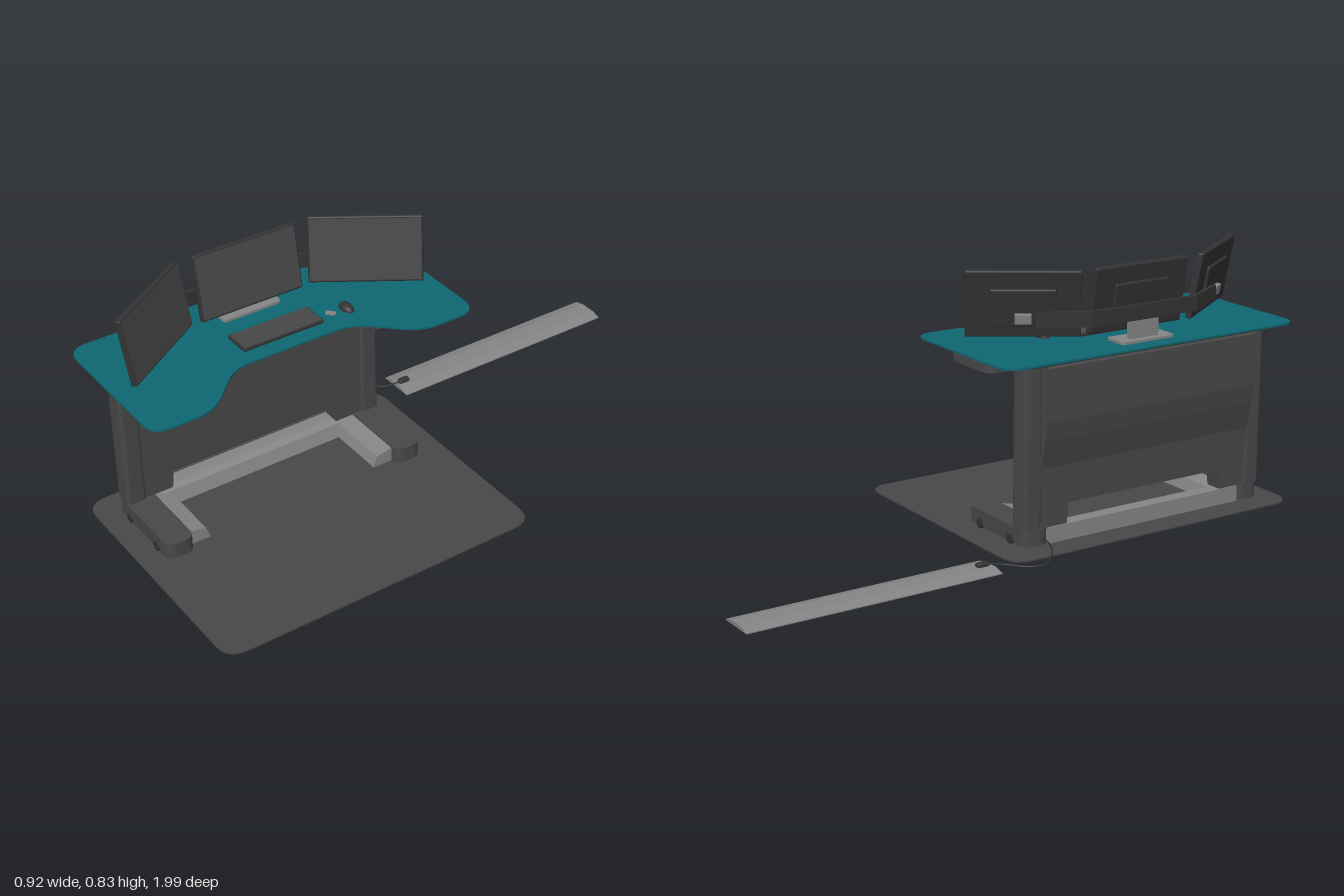
import * as THREE from 'three';
import { RoundedBoxGeometry } from 'three/addons/geometries/RoundedBoxGeometry.js';

const mat = (name, color) => Object.assign(new THREE.MeshStandardMaterial({ color }), { name });

// Closed shape whose corners are rounded with the given radius
function roundPoly(pts, r) {
  const v = pts.map(p => new THREE.Vector2(p[0], p[1]));
  const s = new THREE.Shape();
  v.forEach((p, i) => {
    const a = v[(i + v.length - 1) % v.length], b = v[(i + 1) % v.length];
    const toward = q => p.clone().add(q.clone().sub(p).setLength(Math.min(r, q.distanceTo(p) * 0.45)));
    const s0 = toward(a), s1 = toward(b);
    if (i) s.lineTo(s0.x, s0.y); else s.moveTo(s0.x, s0.y);
    s.quadraticCurveTo(p.x, p.y, s1.x, s1.y);
  });
  s.closePath();
  return s;
}

const extrude = (shape, depth) =>
  new THREE.ExtrudeGeometry(shape, { depth, bevelEnabled: false, curveSegments: 6 });

// Flat slab from an [x, z] outline
const slab = (pts, r, y0, y1) =>
  extrude(roundPoly(pts.map(([x, z]) => [x, -z]), r), y1 - y0).rotateX(-Math.PI / 2).translate(0, y0, 0);

// Prism along z from an [x, y] profile
const alongZ = (pts, z0, z1) =>
  extrude(new THREE.Shape(pts.map(p => new THREE.Vector2(...p))), z1 - z0).translate(0, 0, z0);

// Prism along x from a [z, y] profile
const alongX = (pts, x0, x1) => alongZ(pts.map(([z, y]) => [-z, y]), x0, x1).rotateY(Math.PI / 2);

const rect = (x0, x1, z0, z1) => [[x0, z0], [x1, z0], [x1, z1], [x0, z1]];
const box = (x0, x1, y0, y1, z0, z1) =>
  new THREE.BoxGeometry(x1 - x0, y1 - y0, z1 - z0).translate((x0 + x1) / 2, (y0 + y1) / 2, (z0 + z1) / 2);

export function createModel() {
  const teal = mat('teal top', 0x0e6772);
  const dark = mat('dark grey', 0x484848);
  const black = mat('charcoal', 0x333333);
  const grey = mat('light grey', 0x858585);
  const model = new THREE.Group();
  const add = (name, geometry, material, parent = model) => {
    const mesh = new THREE.Mesh(geometry, material);
    mesh.name = name;
    parent.add(mesh);
    return mesh;
  };

  // Floor mat
  add('floorMat', slab(rect(-0.4, 0.455, -0.1, 0.98), 0.07, 0, 0.004), dark);

  // Floor cable ramp with plug and loose cable
  add('cableRamp', alongZ([[-0.44, 0], [-0.315, 0], [-0.315, 0.003], [-0.35, 0.012],
    [-0.405, 0.012], [-0.44, 0.003]], -1, -0.17), grey);
  add('plug', new RoundedBoxGeometry(0.022, 0.016, 0.04, 2, 0.006).translate(-0.378, 0.016, -0.2), black);
  const cable = new THREE.CatmullRomCurve3([[-0.378, 0.014, -0.18], [-0.395, 0.008, -0.13], [-0.44, 0.007, -0.09],
    [-0.46, 0.008, -0.03], [-0.42, 0.018, 0.02], [-0.38, 0.025, 0.045], [-0.31, 0.032, 0.06]]
    .map(p => new THREE.Vector3(...p)));
  add('cable', new THREE.TubeGeometry(cable, 40, 0.0028, 6), black);

  // Desktop with a recess at the seated side
  const mid = 0.437;
  const half = [[-0.381, 0.553], [0.132, 0.553], [0.132, 0.355], [-0.018, 0.205]];
  const outline = [...half.map(([x, d]) => [x, mid + d]), ...half.slice().reverse().map(([x, d]) => [x, mid - d])];
  add('desktop', slab(outline, 0.062, 0.585, 0.591), teal);

  // Frame under the desktop
  const c = 0.448;
  const frameHalf = [[-0.346, 0.455], [0.086, 0.455], [0.086, 0.36], [-0.04, 0.23]];
  const frame = [...frameHalf.map(([x, d]) => [x, c + d]), ...frameHalf.slice().reverse().map(([x, d]) => [x, c - d])];
  add('underFrame', slab(frame, 0.02, 0.57, 0.585), black);

  // Drawer hung at one end
  add('drawer', slab(rect(-0.228, -0.01, -0.08, 0.16), 0.04, 0.54, 0.566), dark);
  add('drawerRail', box(-0.2, -0.04, 0.564, 0.586, -0.02, 0.13), black);

  // Back cover, thicker toward the top
  add('backCover', alongZ([[-0.258, 0.125], [-0.315, 0.125], [-0.32, 0.25], [-0.342, 0.34],
    [-0.351, 0.4], [-0.351, 0.565], [-0.345, 0.572], [-0.258, 0.572]], c - 0.4, c + 0.4), dark);

  // Columns, cover legs and feet, mirrored at both ends
  for (const s of [-1, 1]) {
    const z = d => c + s * d;
    const span = (a, b) => [Math.min(z(a), z(b)), Math.max(z(a), z(b))];
    add('column', slab(rect(-0.32, -0.25, ...span(0.395, 0.458)), 0.014, 0.06, 0.585), dark);
    add('coverLeg', alongX([[z(0.4), 0.06], [z(0.3), 0.06], [z(0.293), 0.126], [z(0.4), 0.126]], -0.316, -0.258), dark);
    add('foot', slab(rect(-0.322, -0.007, ...span(0.365, 0.458)), 0.035, 0.01, 0.062), dark);
    add('footInnerTrim', alongX([[z(0.37), 0.008], [z(0.297), 0.008], [z(0.31), 0.045], [z(0.37), 0.058]],
      -0.28, -0.04), grey);
    for (const x of [-0.245, -0.08])
      add('caster', new THREE.CylinderGeometry(0.016, 0.016, 0.03, 16).rotateX(Math.PI / 2)
        .translate(x, 0.02, z(0.447)), black);
  }

  // Beam joining the feet
  add('baseBeam', alongZ([[-0.32, 0.008], [-0.24, 0.008], [-0.255, 0.05], [-0.275, 0.06], [-0.32, 0.06]],
    c - 0.37, c + 0.37), grey);

  // Monitor stand: base, post and jointed bar
  const m = 0.442;
  add('standBase', slab(rect(-0.325, -0.24, m - 0.1, m + 0.1), 0.015, 0.591, 0.599), grey);
  add('standPost', box(-0.302, -0.281, 0.595, 0.665, m - 0.052, m + 0.052), grey);
  const bar = [[-0.215, -0.34], [-0.297, -0.195], [-0.3, 0], [-0.297, 0.195], [-0.215, 0.34]];
  for (let i = 0; i < 4; i++) {
    const [x0, z0] = bar[i], [x1, z1] = bar[i + 1];
    const piece = add('standBar', new THREE.BoxGeometry(0.014, 0.048, Math.hypot(x1 - x0, z1 - z0) + 0.008), black);
    piece.position.set((x0 + x1) / 2, 0.68, m + (z0 + z1) / 2);
    piece.rotation.y = Math.atan2(x1 - x0, z1 - z0);
  }

  // Three monitors leaning back and turned toward the seat
  for (const s of [-1, 0, 1]) {
    const monitor = new THREE.Group();
    monitor.name = 'monitor';
    add('monitorCase', new RoundedBoxGeometry(0.35, 0.212, 0.02, 2, 0.005), black, monitor);
    add('screen', new THREE.BoxGeometry(0.338, 0.198, 0.002).translate(0, 0, 0.0105), dark, monitor);
    add('monitorBack', new RoundedBoxGeometry(0.2, 0.12, 0.012, 2, 0.005).translate(0, -0.01, -0.013), black, monitor);
    add('mount', new THREE.BoxGeometry(0.05, 0.03, 0.02).translate(0, -0.04, -0.024), grey, monitor);
    monitor.rotation.order = 'YXZ';
    monitor.rotation.set(-0.17, Math.PI / 2 + s * 0.585, 0);
    monitor.position.set(s ? -0.172 : -0.262, 0.725, m + s * 0.362);
    model.add(monitor);
  }

  // Keyboard with rows of keys
  add('keyboard', slab(rect(-0.168, -0.072, 0.297, 0.575), 0.008, 0.59, 0.598), black);
  for (let i = 0; i < 5; i++) {
    const x = -0.162 + i * 0.0175;
    add('keyRow', box(x, x + 0.016, 0.597, 0.602, 0.303, 0.569), dark);
  }

  // Mouse and a small card beside it
  add('mouse', new THREE.SphereGeometry(1, 20, 8, 0, Math.PI * 2, 0, Math.PI / 2)
    .scale(0.032, 0.018, 0.019).translate(-0.1, 0.591, 0.2), black);
  const card = add('card', new THREE.BoxGeometry(0.032, 0.004, 0.018), grey);
  card.position.set(-0.102, 0.593, 0.255);
  card.rotation.y = 0.7;

  return model;
}
